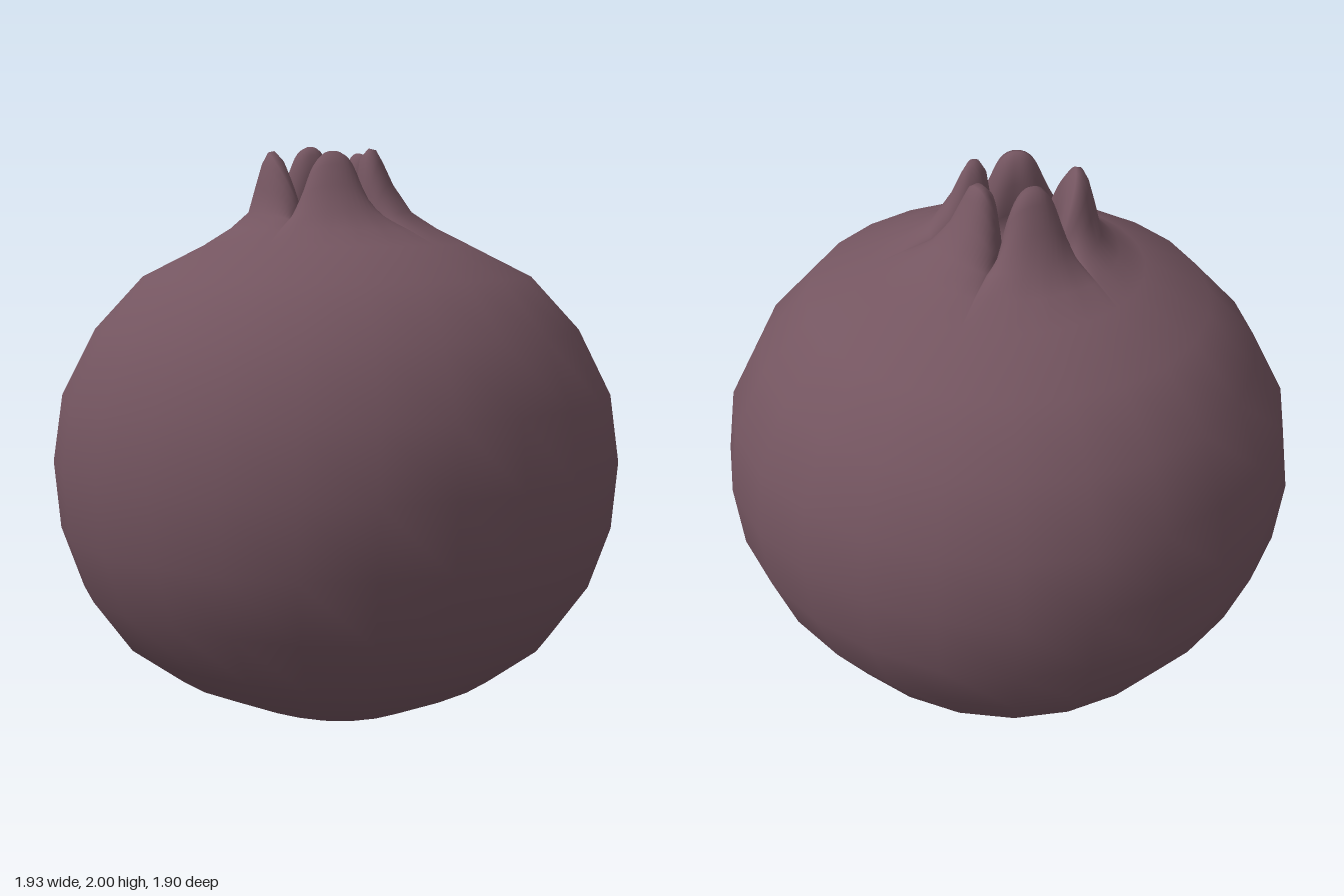
import * as THREE from 'three';

const { lerp, smoothstep, degToRad } = THREE.MathUtils;
const SIDES = 24;
const DEPTH = 0.982; // body is slightly narrower along z

// Round body, tucked in under the crown; it bulges along one diagonal and more so low down
function bodyGeometry() {
  const profile = [
    [0, 0], [0.2, 0.005], [0.34, 0.045], [0.56, 0.145], [0.73, 0.275], [0.86, 0.46],
    [0.94, 0.675], [0.965, 0.91], [0.94, 1.145], [0.84, 1.37], [0.68, 1.55], [0.46, 1.66],
    [0.36, 1.69],
  ].map(([r, y]) => new THREE.Vector2(r, y));
  const geometry = new THREE.LatheGeometry(profile, SIDES).scale(1, 1, DEPTH);
  const p = geometry.attributes.position;
  for (let i = 0; i < p.count; i++) {
    const x = p.getX(i), y = p.getY(i), z = p.getZ(i);
    const angle = Math.atan2(z, x), diagonal = Math.sin(2 * angle);
    const upper = smoothstep(y, 0.3, 0.9);
    const corner = lerp(0.04, 0.02, upper) * diagonal ** 2;
    const lean = lerp(0.012, -0.01, upper) * diagonal ** 2 * Math.cos(angle - Math.PI / 4);
    const swell = 1 + (corner + lean - 0.02 * diagonal) * (1 - smoothstep(y, 0.9, 1.62));
    p.setXYZ(i, x * swell, y, z * swell);
  }
  return geometry;
}

// Crown of five lobes: each ring blends a cleft profile into a lobe profile
const lobeProfile = [
  [0.462, 1.66], [0.36, 1.715], [0.285, 1.77], [0.23, 1.865], [0.195, 1.94], [0.172, 1.98],
  [0.15, 1.985], [0.122, 1.955], [0.108, 1.88], [0.12, 1.76], [0.13, 1.68], [0, 1.66],
];
const cleftProfile = [
  [0.462, 1.66], [0.36, 1.71], [0.275, 1.745], [0.225, 1.755], [0.195, 1.76], [0.185, 1.762],
  [0.18, 1.76], [0.17, 1.755], [0.16, 1.74], [0.15, 1.71], [0.14, 1.68], [0, 1.66],
];
// Start and end angle in degrees, outward lean and extra height of the tip, tip fullness
const lobes = [
  [7, 82, 0, -0.012, 2.6], [82, 177, 0.035, -0.008, 1.6], [177, 245, 0.015, 0.015, 2.4],
  [245, 311, 0, -0.01, 2.6], [311, 367, 0, 0, 2.6],
];

function crownGeometry() {
  const steps = 24, columns = [];
  lobes.forEach(([from, to, lean, rise, fullness], k) => {
    for (let i = k ? 1 : 0; i <= steps; i++) {
      const u = Math.sin((i / steps - 0.5) * Math.PI); // columns crowd at the clefts
      const angle = degToRad((from + to) / 2 + u * (to - from) / 2);
      const w = Math.pow(Math.max(0, 1 - Math.abs(u) ** fullness), 0.75);
      columns.push({ angle, lean, rise, w });
    }
  });

  const position = [], index = [], rows = lobeProfile.length;
  const wedge = 2 * Math.PI / SIDES;
  for (let j = 0; j < rows; j++) {
    const inward = Math.min(1, j / 3);
    for (const { angle, lean, rise, w } of columns) {
      const [lr, ly] = lobeProfile[j], [cr, cy] = cleftProfile[j];
      const tip = smoothstep(ly, 1.75, 1.97) * w;
      // the outer ring follows the many-sided rim of the body
      const local = ((angle % wedge) + wedge) % wedge - wedge / 2;
      const rim = lerp(Math.cos(wedge / 2) / Math.cos(local), 1, inward);
      const r = (cr + (lr - cr) * w) * rim + lean * tip;
      position.push(
        Math.cos(angle) * r - 0.01 * inward,
        cy + (ly - cy) * w + rise * tip,
        Math.sin(angle) * r * lerp(DEPTH, 1, inward) + 0.04 * inward,
      );
    }
  }
  const n = columns.length;
  for (let j = 0; j < rows - 1; j++) {
    for (let i = 0; i < n - 1; i++) {
      const a = j * n + i, b = a + n;
      index.push(a, b, a + 1, a + 1, b, b + 1);
    }
  }
  const geometry = new THREE.BufferGeometry();
  geometry.setAttribute('position', new THREE.Float32BufferAttribute(position, 3));
  geometry.setIndex(index);
  geometry.computeVertexNormals();
  // Match the body's shading along the shared rim
  columns.forEach(({ angle }, i) => {
    geometry.attributes.normal.setXYZ(i, 0.4 * Math.cos(angle), 0.917, 0.4 * Math.sin(angle));
  });
  return geometry;
}

export function createModel() {
  const skin = new THREE.MeshStandardMaterial({ color: 0x745560, side: THREE.DoubleSide });
  skin.name = 'dusky plum skin';

  const group = new THREE.Group();
  group.name = 'pomegranate';
  const body = new THREE.Mesh(bodyGeometry(), skin);
  body.name = 'body';
  const crown = new THREE.Mesh(crownGeometry(), skin);
  crown.name = 'crown';
  group.add(body, crown);
  return group;
}
